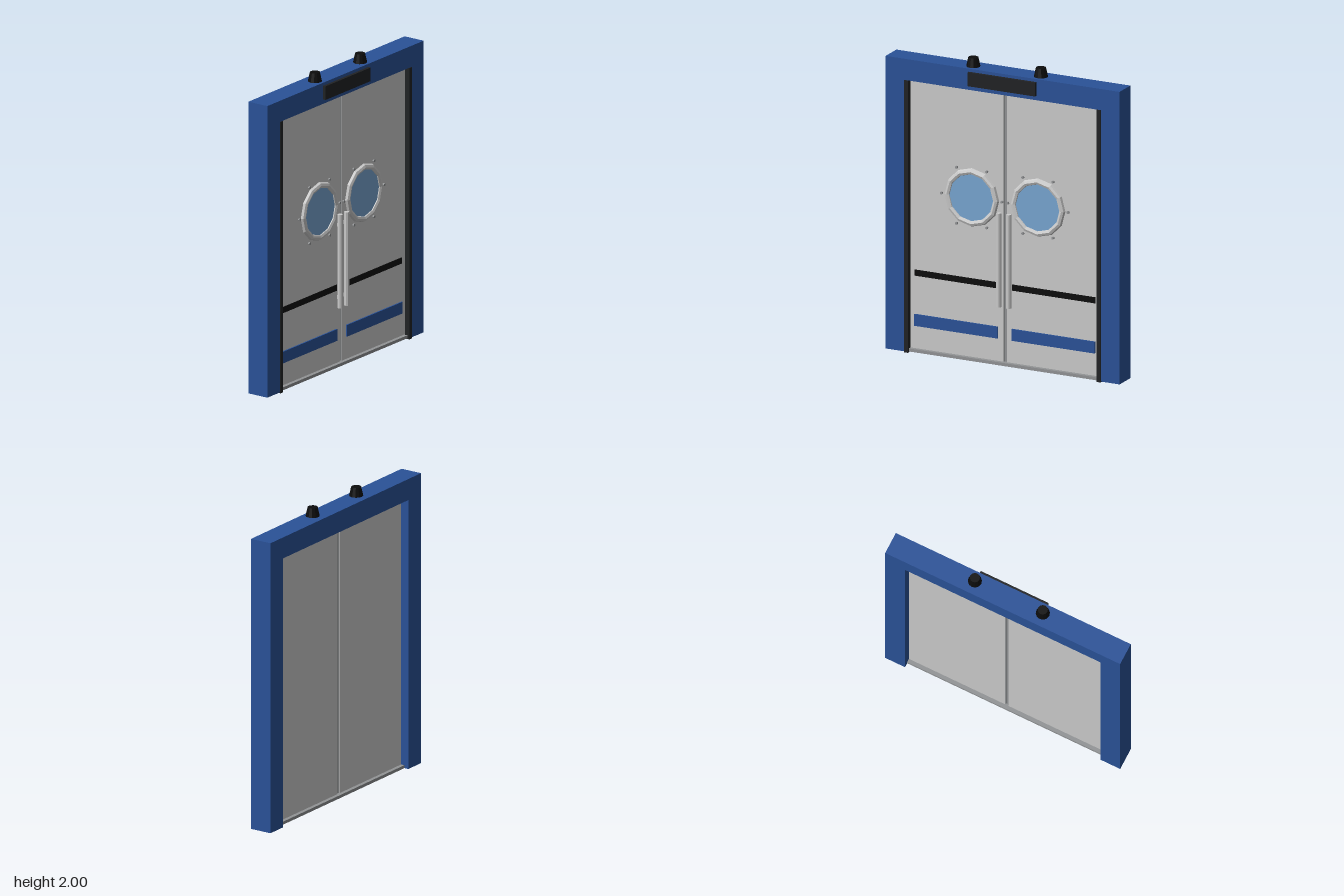
import * as THREE from 'three';

const mat = (color) => new THREE.MeshStandardMaterial({ color, flatShading: true });
const STEEL = mat(0xcccccc), DARK_STEEL = mat(0x929496), BLUE = mat(0x2a5298);
const BLACK = mat(0x0c0c0c), CHARCOAL = mat(0x202224), GLASS = mat(0x78a6d2);

export function createModel() {
  const model = new THREE.Group();
  model.name = 'doubleDoor';

  const add = (parent, name, geometry, material, x = 0, y = 0, z = 0) => {
    const mesh = new THREE.Mesh(geometry, material);
    mesh.name = name;
    mesh.position.set(x, y, z);
    parent.add(mesh);
    return mesh;
  };
  // Box given by its extents on each axis
  const box = (parent, name, material, [x0, x1], [y0, y1], [z0, z1]) =>
    add(parent, name, new THREE.BoxGeometry(x1 - x0, y1 - y0, z1 - z0), material,
      (x0 + x1) / 2, (y0 + y1) / 2, (z0 + z1) / 2);

  // Portal frame, one U-shaped extrusion
  const outline = new THREE.Shape([
    [-0.83, 0.005], [-0.69, 0.005], [-0.69, 1.8], [0.69, 1.8],
    [0.69, 0.005], [0.83, 0.005], [0.83, 1.94], [-0.83, 1.94],
  ].map(([x, y]) => new THREE.Vector2(x, y)));
  add(model, 'frame', new THREE.ExtrudeGeometry(outline, { depth: 0.15, bevelEnabled: false }),
    BLUE, 0, 0, -0.085);

  // Header plate, floor sill and centre seal
  box(model, 'headerPlate', CHARCOAL, [-0.24, 0.24], [1.83, 1.92], [0.06, 0.085]);
  box(model, 'threshold', DARK_STEEL, [-0.69, 0.69], [0.005, 0.025], [-0.055, 0.055]);
  box(model, 'centreSeal', DARK_STEEL, [-0.006, 0.006], [0.025, 1.8], [-0.02, 0.02]);

  for (const side of [-1, 1]) {
    const span = (a, b) => (side > 0 ? [a, b] : [-b, -a]);
    const leaf = new THREE.Group();
    leaf.name = side > 0 ? 'leftLeaf' : 'rightLeaf';
    model.add(leaf);

    // Door panel with its meeting edge strip
    box(leaf, 'doorPanel', STEEL, span(0.012, 0.69), [0.025, 1.8], [-0.03, 0.03]);
    box(leaf, 'edgeStrip', DARK_STEEL, span(0.006, 0.012), [0.025, 1.8], [-0.025, 0.025]);

    // Black stripe and blue kick plate
    box(leaf, 'stripe', BLACK, span(0.05, 0.64), [0.505, 0.545], [0.028, 0.034]);
    box(leaf, 'kickPlate', BLUE, span(0.05, 0.64), [0.175, 0.252], [0.028, 0.04]);

    // Porthole: faceted ring, glass and six bolts
    const porthole = new THREE.Group();
    porthole.name = 'porthole';
    porthole.position.set(side * 0.235, 1.08, 0.03);
    leaf.add(porthole);
    add(porthole, 'ring', new THREE.TorusGeometry(0.172, 0.021, 8, 12), STEEL);
    add(porthole, 'glass', new THREE.CylinderGeometry(0.16, 0.16, 0.014, 24).rotateX(Math.PI / 2),
      GLASS, 0, 0, 0.002);
    for (let i = 0; i < 6; i++) {
      const a = (i * Math.PI) / 3;
      add(porthole, 'bolt', new THREE.CylinderGeometry(0.009, 0.009, 0.014, 8).rotateX(Math.PI / 2),
        DARK_STEEL, 0.214 * Math.cos(a), 0.214 * Math.sin(a), 0.004);
    }

    // Pull handle on two standoffs
    add(leaf, 'handleBar',
      new THREE.CylinderGeometry(0.017, 0.017, 0.62, 8, 1, false, Math.PI / 8),
      STEEL, side * 0.035, 0.7, 0.048);
    for (const y of [0.46, 0.94])
      box(leaf, 'handleMount', STEEL, span(0.025, 0.045), [y - 0.012, y + 0.012], [0.028, 0.045]);

    // Black jamb seal
    box(model, 'jambSeal', CHARCOAL, span(0.67, 0.697), [0, 1.8], [0.035, 0.07]);

    // Beacon on top of the frame
    add(model, 'beacon', new THREE.CylinderGeometry(0.032, 0.045, 0.06, 12), BLACK,
      side * 0.24, 1.97, 0.002);
  }
  return model;
}
